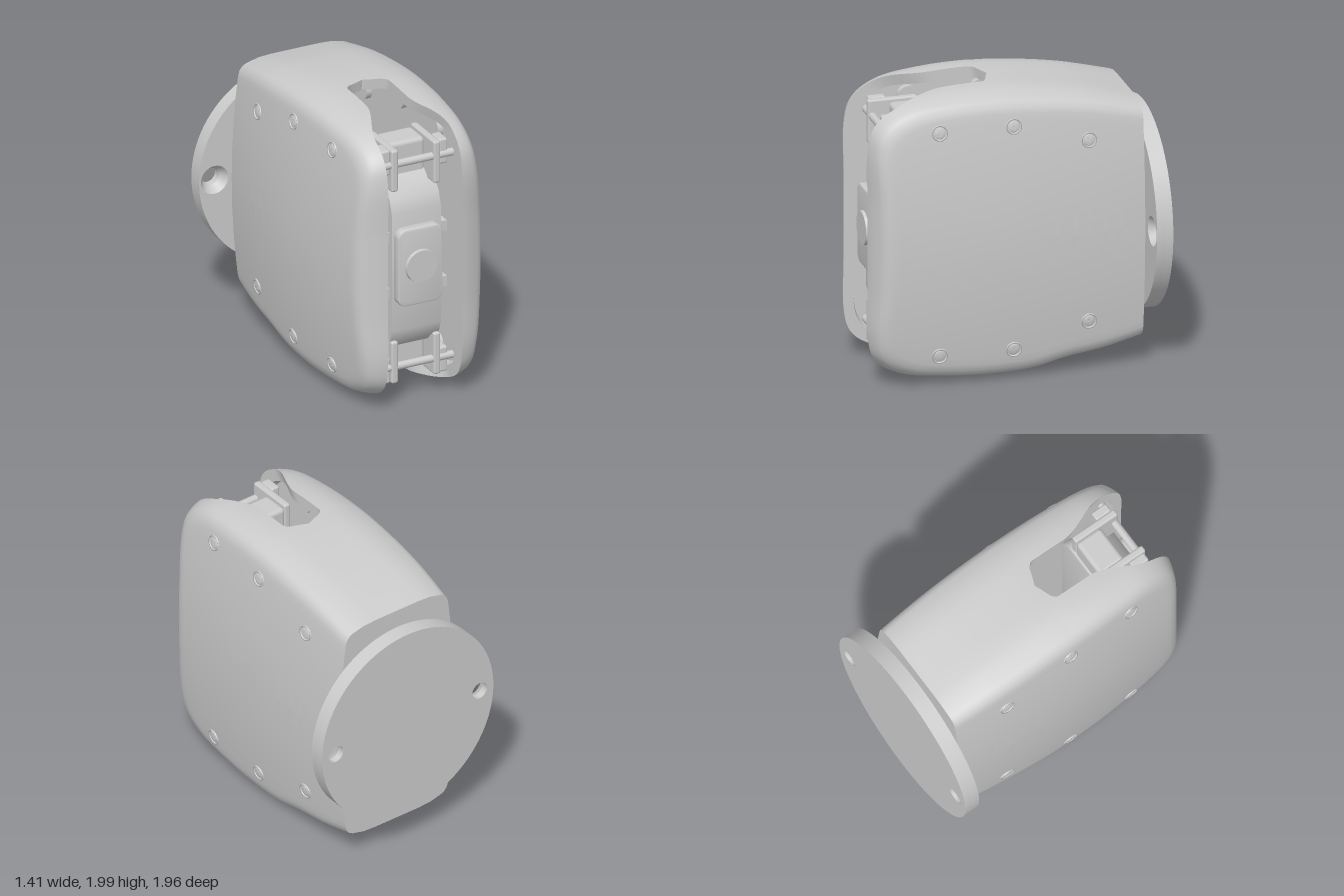
import * as THREE from 'three';
import { toCreasedNormals } from 'three/addons/utils/BufferGeometryUtils.js';
import { RoundedBoxGeometry } from 'three/addons/geometries/RoundedBoxGeometry.js';

const grey = new THREE.MeshStandardMaterial({ color: 0xcccccc });
const greyOpen = new THREE.MeshStandardMaterial({ color: 0xcccccc, side: THREE.DoubleSide });

function add(parent, name, geometry, x = 0, y = 0, z = 0, material = grey) {
  const mesh = new THREE.Mesh(geometry, material);
  mesh.name = name;
  mesh.position.set(x, y, z);
  parent.add(mesh);
  return mesh;
}

// Side outline of the case as [z, y], from back top over the front to back bottom
const OUTLINE = [[-.86, 1.83], [-.5, 1.925], [-.1, 1.985], [.2, 2], [.5, 1.985], [.75, 1.94], [.92, 1.83],
  [.98, 1.65], [.98, 1.3], [.98, 1], [.98, .7], [.98, .35], [.92, .17], [.75, .07], [.5, .03], [.2, .01],
  [-.1, .02], [-.35, .075], [-.6, .115], [-.86, .18]];

// Half width of the bulged case at a point of its side
function sideX(side, z, y) {
  const bulge = side < 0 ? .53 : .505;
  return bulge - (bulge - .46) * z * z / .85 - .09 * (y - 1) ** 2;
}

// Half width of the openings: the front slot and the round hole underneath
function slotHalfWidth(z, y) {
  if (z > .1) {
    if (z < .17) return .15 * Math.sqrt(1 - ((.17 - z) / .07) ** 2);
    return .15 + .122 * THREE.MathUtils.smoothstep(z, .42, .82);
  }
  const d = Math.abs(z + .4);
  return y < .5 && d < .18 ? Math.sqrt(.18 * .18 - d * d) : 0;
}

// One half of the hollow case: each outline point carries a section from the
// outer side, over the crown, around the slot rim and back inside
function caseHalf(side) {
  const curve = new THREE.SplineCurve(OUTLINE.map(([z, y]) => new THREE.Vector2(z, y)));
  const outline = curve.getSpacedPoints(240);
  outline.unshift(new THREE.Vector2(-.86, 1));
  outline.push(new THREE.Vector2(-.86, 1));

  const positions = [];
  let count = 0;
  for (const p of outline) {
    const w = slotHalfWidth(p.x, p.y);
    const crown = x => 1 - 1.3 * Math.max(0, x - .2) ** 2;
    const at = k => [p.x > 0 ? p.x * k : p.x, 1 + (p.y - 1) * k];
    const section = [];
    const put = (x, k, inside) => {
      const [z, y] = at(k);
      section.push([side * x, y, inside ? Math.max(z, -.8) : z]);
    };
    const surface = k => sideX(side, ...at(k));
    const edge = surface(.95) - .05, k0 = crown(edge);
    for (const k of [0, .25, .5, .7, .82]) put(surface(k), k);
    for (const [dk, dx] of [[.09, 0], [.05, .005], [.015, .025]]) put(surface(k0 - dk) - dx, k0 - dk);
    for (const f of [1, .75, .5, .25, 0]) {
      const x = w + (edge - w) * f;
      put(x, crown(x));
    }
    put(w, .925, true);
    const inner = k => Math.min(surface(k) - .08, .33);
    put(inner(.9), .91, true);
    for (const k of [.88, .5, 0]) put(inner(k), k, true);
    count = section.length;
    positions.push(...section.flat());
  }

  const index = [];
  for (let u = 0; u < outline.length - 1; u++) {
    for (let v = 0; v < count - 1; v++) {
      const a = u * count + v, b = a + 1, c = a + count, d = c + 1;
      if (side > 0) index.push(a, b, c, b, d, c);
      else index.push(a, c, b, b, c, d);
    }
  }
  const g = new THREE.BufferGeometry();
  g.setAttribute('position', new THREE.Float32BufferAttribute(positions, 3));
  g.setIndex(index);
  return toCreasedNormals(g, .6);
}

// Cross-head screw pointing along +x
function screw() {
  const group = new THREE.Group();
  group.name = 'screw';
  const head = new THREE.LatheGeometry([[0, .004], [.032, .004], [.04, -.004], [.043, -.012], [.046, .004],
    [.053, .005], [.056, -.015]].reverse().map(([r, y]) => new THREE.Vector2(r, y)), 28);
  add(group, 'screwHead', head.rotateZ(-Math.PI / 2), 0, 0, 0, greyOpen);
  for (const turn of [.35, .35 + Math.PI / 2]) {
    add(group, 'screwCross', new THREE.BoxGeometry(.004, .042, .009), .004).rotation.x = turn;
  }
  return group;
}

function disc(radius, holeRadius, depth) {
  const shape = new THREE.Shape().absarc(0, 0, radius, 0, Math.PI * 2);
  for (const x of [-.59, .59]) shape.holes.push(new THREE.Path().absarc(x, 0, holeRadius, 0, Math.PI * 2, true));
  return toCreasedNormals(new THREE.ExtrudeGeometry(shape, { depth, bevelEnabled: false, curveSegments: 48 }), .5);
}

function roundedPlate(w, h, r, depth, bevel) {
  const x = w / 2 - bevel, y = h / 2 - bevel;
  const s = new THREE.Shape();
  s.absarc(x - r, y - r, r, 0, Math.PI / 2);
  s.absarc(r - x, y - r, r, Math.PI / 2, Math.PI);
  s.absarc(r - x, r - y, r, Math.PI, Math.PI * 1.5);
  s.absarc(x - r, r - y, r, Math.PI * 1.5, Math.PI * 2);
  return toCreasedNormals(new THREE.ExtrudeGeometry(s, { depth: depth - bevel, bevelSize: bevel,
    bevelThickness: bevel, bevelSegments: 2, curveSegments: 8 }), .5);
}

export function createModel() {
  const model = new THREE.Group();
  model.name = 'model';

  // Case halves with screws and inner screw bosses
  for (const side of [1, -1]) {
    add(model, side > 0 ? 'leftCase' : 'rightCase', caseHalf(side));
    for (const [z, y] of [[.53, 1.78], [.03, 1.78], [-.48, 1.635], [.53, .23], [.03, .23], [-.48, .375]]) {
      const x = sideX(side, z, y);
      const s = screw();
      s.position.set(side * (x + .002), y, z);
      const slope = new THREE.Vector3(side, .18 * (y - 1), .12 * z).normalize();
      s.quaternion.setFromUnitVectors(new THREE.Vector3(1, 0, 0), slope);
      model.add(s);
      add(model, 'screwBoss', new THREE.CylinderGeometry(.07, .07, .06, 24).rotateZ(Math.PI / 2), side * .32, y, z);
    }
  }

  // Round wall plate with two countersunk holes, and its pivot
  const base = new THREE.Group();
  base.name = 'wallPlate';
  base.position.set(0, 1.005, -.98);
  model.add(base);
  add(base, 'plateBack', disc(.703, .06, .05));
  add(base, 'plateFront', disc(.703, .1, .06), 0, 0, .05);
  for (const x of [-.59, .59]) {
    const cone = new THREE.CylinderGeometry(.1, .06, .06, 32, 1, true).rotateX(Math.PI / 2);
    add(base, 'countersink', cone, x, 0, .08, greyOpen);
  }
  add(base, 'pivot', new THREE.CylinderGeometry(.12, .12, .16, 32).rotateX(Math.PI / 2), 0, 0, .17);

  // Adjuster seen through the hole underneath
  add(model, 'adjusterPost', new THREE.CylinderGeometry(.07, .07, .3, 24), 0, .32, -.4);
  add(model, 'adjusterRib', new THREE.BoxGeometry(.46, .25, .03), 0, .37, -.4);
  add(model, 'adjusterRib', new THREE.BoxGeometry(.03, .25, .46), 0, .37, -.4);

  // Latch carrier: a block with sloped ends, extruded across x
  const latch = new THREE.Group();
  latch.name = 'latch';
  model.add(latch);
  const profile = new THREE.Shape([[.5, .4], [.68, .37], [.76, .39], [.82, .45], [.85, .54], [.85, 1.38],
    [.82, 1.47], [.74, 1.57], [.68, 1.62], [.5, 1.63]].map(([z, y]) => new THREE.Vector2(-z, y)));
  const carrier = new THREE.ExtrudeGeometry(profile, { depth: .36, bevelEnabled: false });
  carrier.rotateY(Math.PI / 2).translate(-.18, 0, 0);
  add(latch, 'carrier', toCreasedNormals(carrier, .5));
  add(latch, 'backPlate', roundedPlate(.54, 1.2, .12, .06, .005), 0, 1.04, .5);
  add(latch, 'buttonPlate', roundedPlate(.33, .55, .05, .07, .012), 0, 1.005, .845);
  add(latch, 'button', new THREE.CylinderGeometry(.112, .12, .04, 40).rotateX(Math.PI / 2), 0, 1.01, .915);

  // Clevis, ears and hinge pin at the top and bottom of the carrier
  for (const end of [1, -1]) {
    const mid = 1 + end * .73;
    add(latch, 'clevisWeb', new RoundedBoxGeometry(.28, .26, .2, 2, .03), 0, 1 + end * .69, .61);
    add(latch, 'hingePin', new THREE.CylinderGeometry(.026, .026, .56, 20).rotateZ(Math.PI / 2), 0, mid, .82);
    for (const side of [1, -1]) {
      add(latch, 'clevisCheek', new RoundedBoxGeometry(.05, .3, .34, 2, .015), side * .155, 1 + end * .69, .68);
      add(latch, 'hingeEar', new RoundedBoxGeometry(.065, .18, .12, 2, .015), side * .21, 1 + end * .75, .77);
      add(latch, 'wingStop', new THREE.BoxGeometry(.06, .075, .16), side * .21, 1.005 + end * .2, .74);
    }
  }
  for (const side of [1, -1]) {
    add(latch, 'sideWing', new THREE.BoxGeometry(.06, .4, .14), side * .205, 1.005, .7);
  }
  return model;
}
